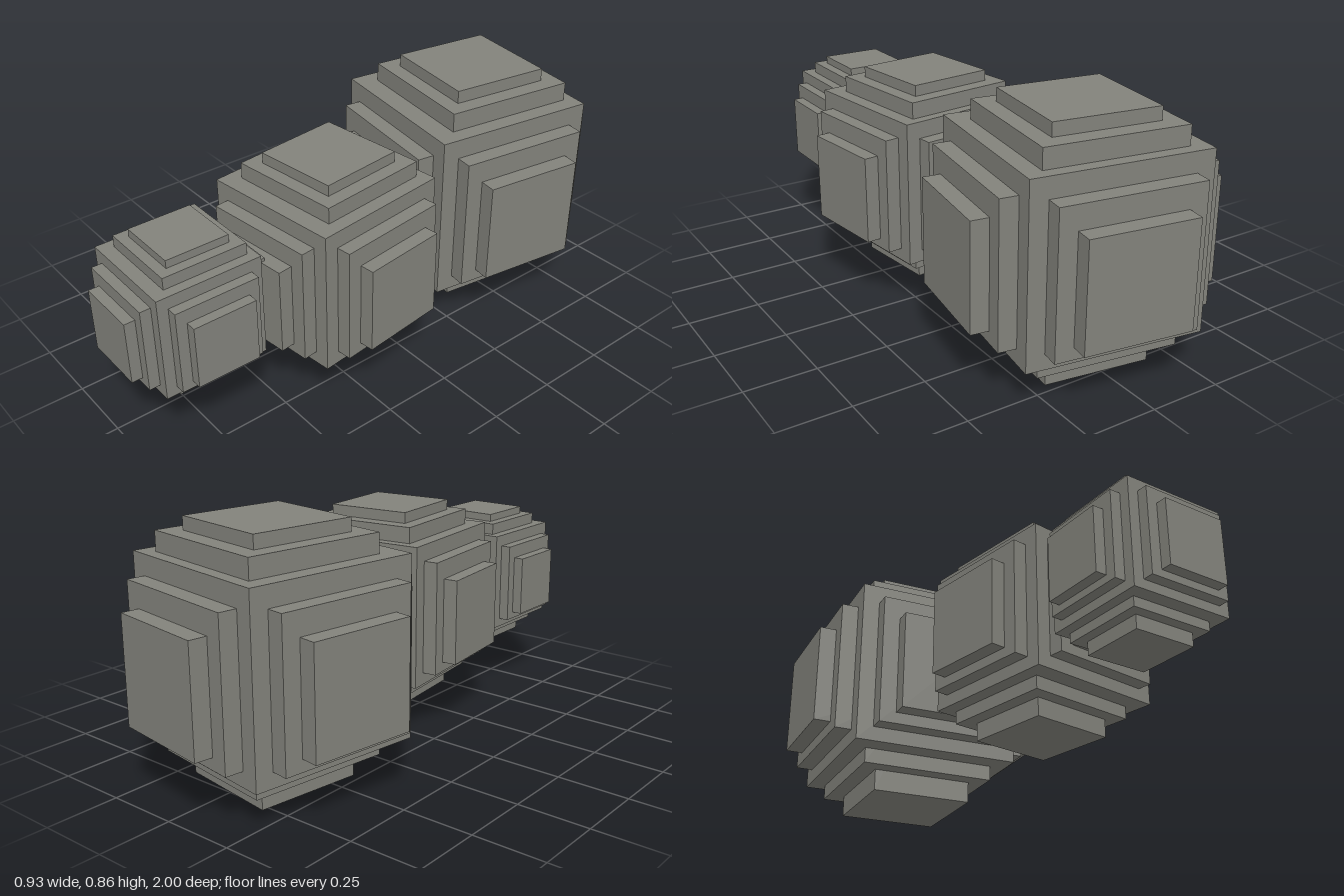
import * as THREE from 'three';

const stone = new THREE.MeshStandardMaterial({ color: 0x82827b });
stone.name = 'grey stone';

// Boxes of one boulder in boulder units: name, size, offset from its centre
const blocks = [
  ['core', [10, 10, 10], [0, 0.14, 0]],
  ['verticalInnerStep', [8, 12, 8], [0, 0.25, -0.28]],
  ['verticalOuterStep', [6, 14, 6], [0, 0, -0.25]],
  ['sideInnerStep', [12, 8, 8], [0, 0, 0]],
  ['sideOuterStep', [14, 6, 6], [0, -0.32, 0]],
  ['frontBackInnerStep', [8, 8, 12], [0, 0, 0]],
  ['frontBackOuterStep', [6, 6, 14], [0, -0.32, 0]],
];

// A stepped, roughly round boulder made of crossed boxes
function boulder(name, unit, x, z, turn) {
  const group = new THREE.Group();
  group.name = name;
  for (const [part, size, offset] of blocks) {
    const mesh = new THREE.Mesh(
      new THREE.BoxGeometry(...size.map((s) => s * unit)), stone);
    mesh.position.set(...offset.map((o) => o * unit));
    mesh.name = part;
    group.add(mesh);
  }
  group.position.set(x, 0.43, z);
  group.rotation.y = turn;
  return group;
}

export function createModel() {
  const model = new THREE.Group();
  model.name = 'boulderRow';
  model.add(
    boulder('largeBoulder', 0.0614, -0.014, -0.548, -0.15),
    boulder('mediumBoulder', 0.0508, 0.093, 0.192, 0.115),
    boulder('smallBoulder', 0.0368, 0.054, 0.743, 0),
  );
  return model;
}
